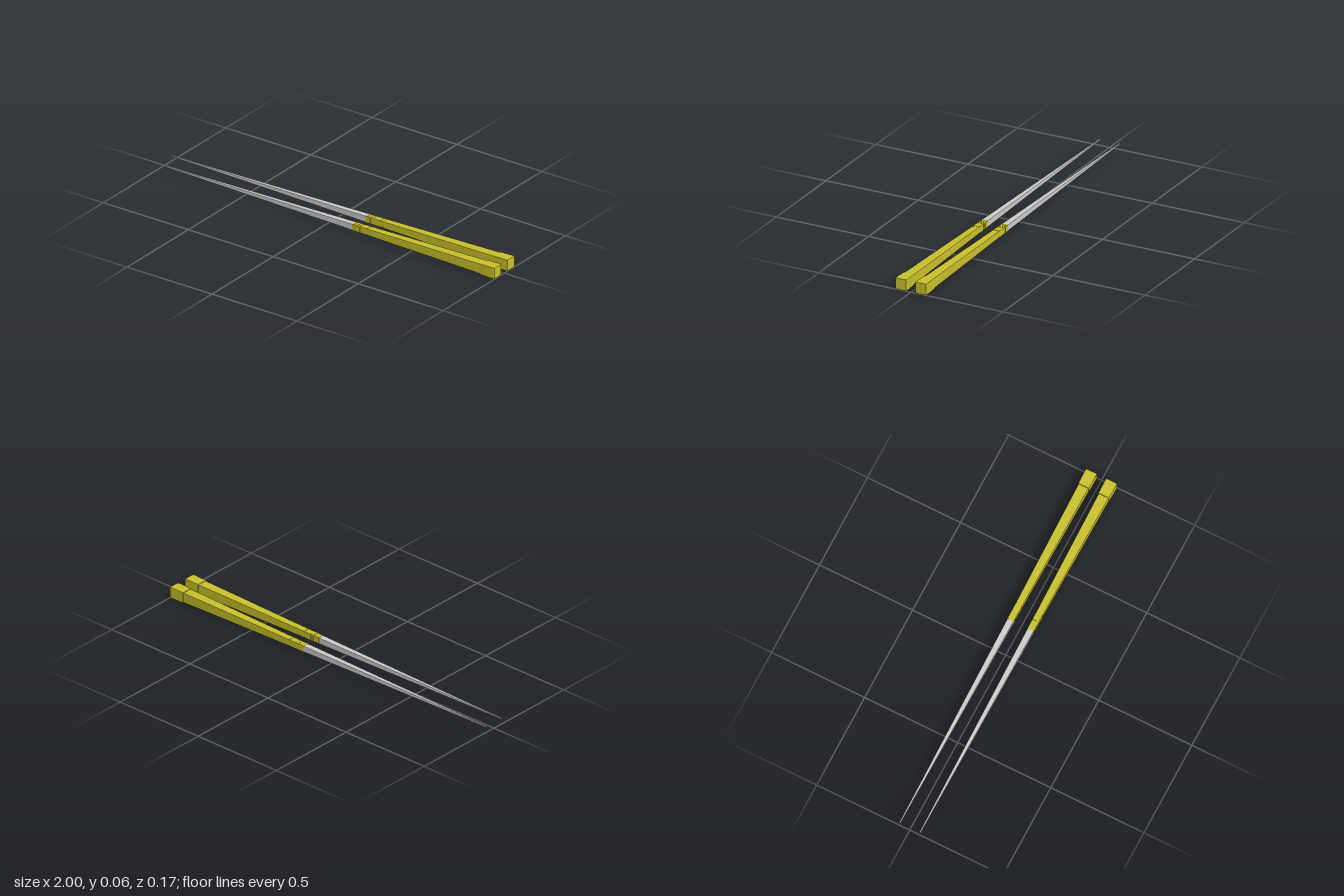
import * as THREE from 'three';

const grey = new THREE.MeshStandardMaterial({ color: 0xcccccc, flatShading: true });
const yellow = new THREE.MeshStandardMaterial({ color: 0xc8c02a, flatShading: true });

// Square section with rounded corners, as [y, z] points around the x axis
function section(half) {
  const r = Math.min(0.003, half * 0.7);
  const points = [];
  for (let corner = 0; corner < 4; corner++) {
    const mid = Math.PI / 4 + corner * Math.PI / 2;
    const cy = Math.sign(Math.cos(mid)) * (half - r);
    const cz = Math.sign(Math.sin(mid)) * (half - r);
    for (let k = 0; k < 3; k++) {
      const a = (corner + k / 2) * Math.PI / 2;
      points.push([cy + r * Math.cos(a), cz + r * Math.sin(a)]);
    }
  }
  return points;
}

// Closed loft along x through stations [x, half width]
function loft(name, stations, material) {
  const rings = stations.map(([x, h]) => section(h).map(([y, z]) => [x, y, z]));
  const n = rings[0].length;
  const pos = [];
  const tri = (...corners) => corners.forEach((p) => pos.push(...p));
  for (let i = 0; i < rings.length - 1; i++) {
    for (let j = 0; j < n; j++) {
      const k = (j + 1) % n;
      const [a, b, c, d] = [rings[i][j], rings[i][k], rings[i + 1][k], rings[i + 1][j]];
      tri(a, b, c);
      tri(a, c, d);
    }
  }
  const first = rings[0];
  const last = rings[rings.length - 1];
  for (let j = 1; j < n - 1; j++) {
    tri(first[0], first[j + 1], first[j]);
    tri(last[0], last[j], last[j + 1]);
  }
  const geometry = new THREE.BufferGeometry();
  geometry.setAttribute('position', new THREE.Float32BufferAttribute(pos, 3));
  geometry.computeVertexNormals();
  const mesh = new THREE.Mesh(geometry, material);
  mesh.name = name;
  return mesh;
}

function createChopstick() {
  const stick = new THREE.Group();

  // Slender tapering shaft
  stick.add(loft('shaft', [[-1, 0.0035], [-0.85, 0.005], [0.155, 0.0165]], grey));

  // Decorative collar: raised bands separated by shallow grooves
  const bands = [[0.155, 0.167], [0.172, 0.184], [0.19, 0.2], [0.206, 0.242], [0.248, 0.262]];
  const collar = [];
  bands.forEach(([a, b], i) => {
    collar.push([a, 0.0175], [b, 0.018]);
    if (i < bands.length - 1) collar.push([b, 0.0168], [bands[i + 1][0], 0.0168]);
  });
  stick.add(loft('collar', collar, yellow));

  // Thicker handle
  stick.add(loft('handle', [[0.262, 0.0178], [0.915, 0.0265]], yellow));

  // Raised end cap with a softened rim
  stick.add(loft('endCap', [
    [0.915, 0.0265], [0.917, 0.0285], [0.952, 0.0295], [0.982, 0.03], [0.997, 0.03], [1, 0.0285],
  ], yellow));
  return stick;
}

export function createModel() {
  const model = new THREE.Group();
  model.name = 'chopsticks';
  for (const [name, side] of [['frontChopstick', 1], ['backChopstick', -1]]) {
    const stick = createChopstick();
    stick.name = name;
    stick.position.set(0, 0.03, side * 0.054);
    model.add(stick);
  }
  return model;
}
